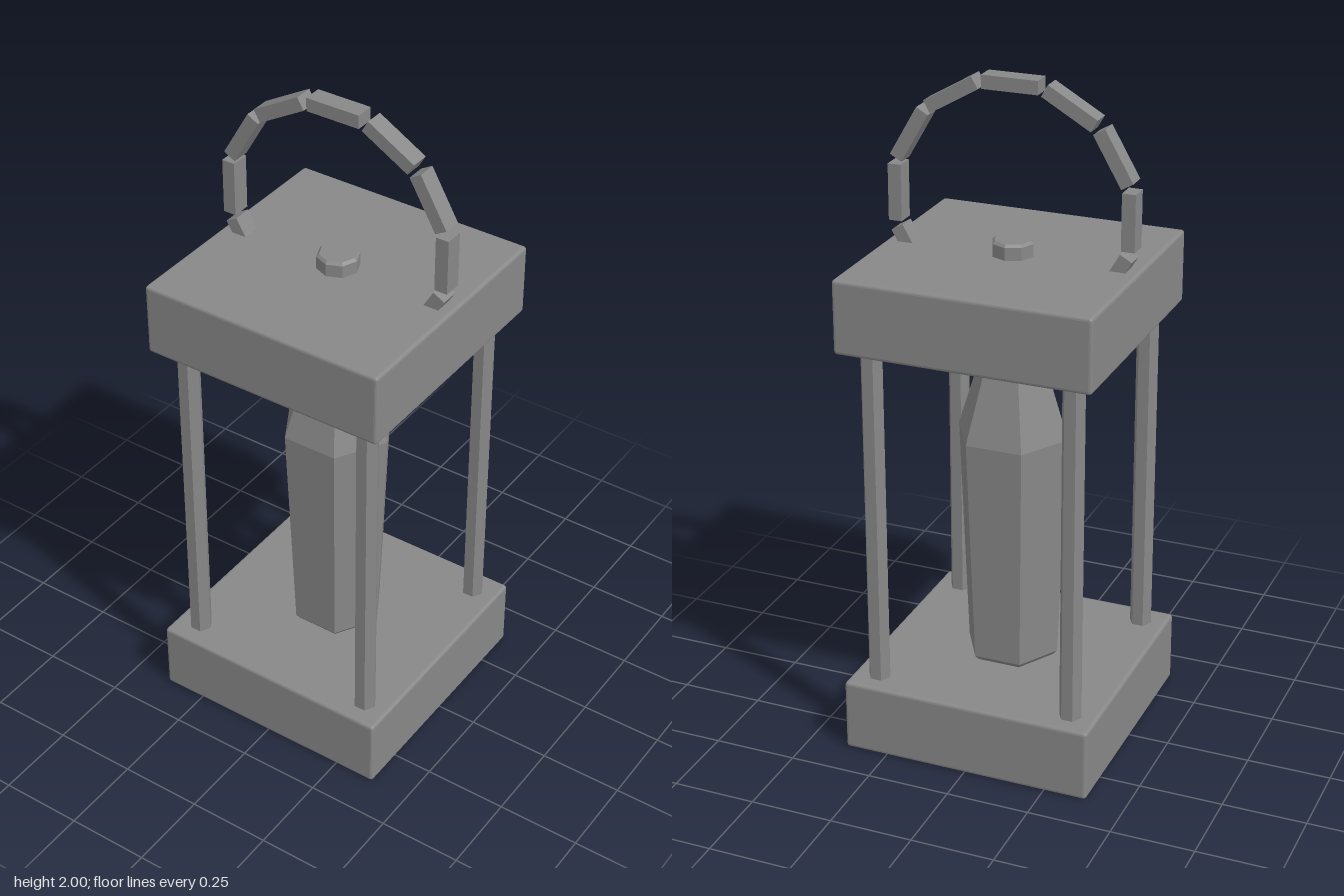
import * as THREE from 'three';
import { RoundedBoxGeometry } from 'three/addons/geometries/RoundedBoxGeometry.js';

export function createModel() {
  const model = new THREE.Group();
  model.name = 'lantern';
  const grey = new THREE.MeshStandardMaterial({ color: 0x888888, flatShading: true });
  grey.name = 'grey';

  const add = (name, geometry, x, y, z, parent = model) => {
    const mesh = new THREE.Mesh(geometry, grey);
    mesh.name = name;
    mesh.position.set(x, y, z);
    parent.add(mesh);
    return mesh;
  };
  // faceted solid of revolution from [radius, height] pairs, bottom to top
  const faceted = (profile, sides, start) => new THREE.LatheGeometry(
    profile.map(([r, y]) => new THREE.Vector2(r, y)), sides, start, Math.PI * 2);

  // base and roof slabs with slightly softened edges
  const slab = new RoundedBoxGeometry(0.762, 0.22, 0.762, 2, 0.01);
  add('base', slab, 0, 0.11, 0);
  add('roof', slab, 0, 1.375, 0);

  // four hexagonal corner posts
  const post = new THREE.CylinderGeometry(0.034, 0.034, 1.07, 6);
  post.rotateY(Math.PI / 2);
  for (const x of [-1, 1]) for (const z of [-1, 1]) add('post', post, x * 0.302, 0.745, z * 0.302);

  // tapered hexagonal crystal
  add('crystal', faceted([
    [0, 0.215], [0.13, 0.225], [0.143, 0.24], [0.171, 0.94], [0.07, 1.26], [0.06, 1.29], [0, 1.29],
  ], 6, Math.PI / 2), 0, 0, 0);

  // octagonal knob on the roof
  add('knob', faceted([
    [0, 1.46], [0.062, 1.46], [0.062, 1.523], [0.054, 1.531], [0, 1.531],
  ], 8, 0), 0, 0, 0);

  // carrying ring of twelve links, its lower part sunk in the roof
  const handle = new THREE.Group();
  handle.name = 'handle';
  model.add(handle);
  const link = new THREE.BoxGeometry(0.04, 0.167, 0.056);
  for (let i = 0; i < 12; i++) {
    const a = i * Math.PI / 6;
    add('handleLink', link, 0.35 * Math.cos(a), 1.63 + 0.35 * Math.sin(a), 0, handle).rotation.z = a;
  }
  return model;
}
